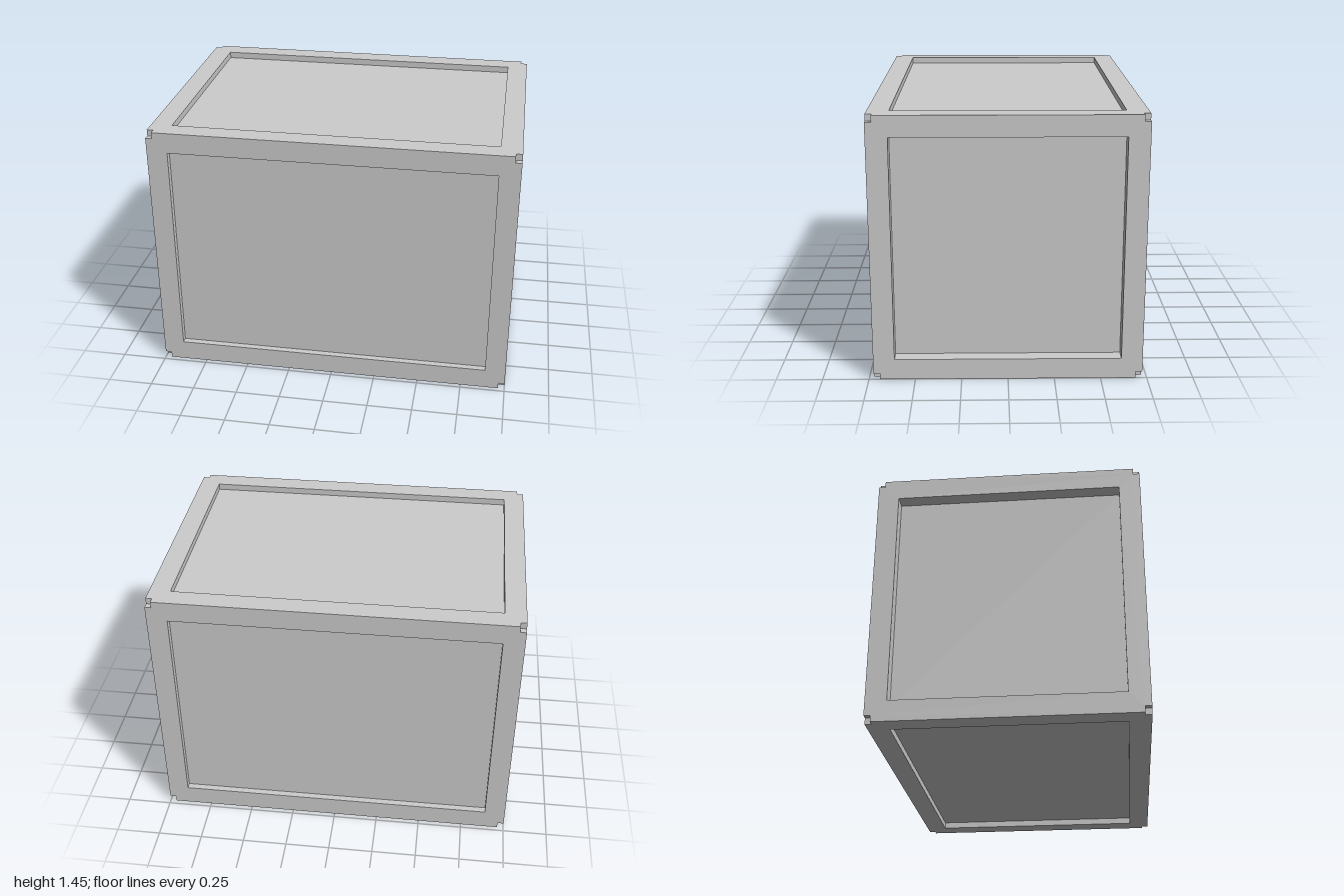
import * as THREE from 'three';

const W = 2, H = 1.45, D = 1.45;   // outer size
const RIM = 0.115;                 // width of the raised border
const NOTCH = 0.035;               // cube cut out of every corner
const DEPTH = 0.036;               // recess of front, back, top and bottom
const SIDE_DEPTH = 0.077;          // deeper recess of the two ends

// Raised border with notched corners; its outer face lies at z = 0
function borderGeometry(w, h, depth) {
  const x = w / 2, y = h / 2, n = NOTCH;
  const shape = new THREE.Shape([
    [-x + n, -y], [x - n, -y], [x - n, -y + n], [x, -y + n],
    [x, y - n], [x - n, y - n], [x - n, y], [-x + n, y],
    [-x + n, y - n], [-x, y - n], [-x, -y + n], [-x + n, -y + n],
  ].map(([a, b]) => new THREE.Vector2(a, b)));
  const ix = x - RIM, iy = y - RIM;
  shape.holes.push(new THREE.Path([
    [-ix, -iy], [-ix, iy], [ix, iy], [ix, -iy],
  ].map(([a, b]) => new THREE.Vector2(a, b))));
  return new THREE.ExtrudeGeometry(shape, { depth, bevelEnabled: false })
    .translate(0, 0, -depth);
}

export function createModel() {
  const model = new THREE.Group();
  model.name = 'framedCrate';
  const grey = new THREE.MeshStandardMaterial({ color: 0xcccccc });
  grey.name = 'lightGrey';

  // Inner block forms the six recessed panels
  const core = new THREE.Mesh(
    new THREE.BoxGeometry(W - 2 * SIDE_DEPTH, H - 2 * DEPTH, D - 2 * DEPTH), grey);
  core.name = 'recessedPanels';
  core.position.y = H / 2;
  model.add(core);

  // One border per face: name, width, height, depth, distance, turn about x and y
  const q = Math.PI / 2;
  const faces = [
    ['frontBorder', W, H, DEPTH, D / 2, 0, 0],
    ['backBorder', W, H, DEPTH, D / 2, 0, 2 * q],
    ['leftBorder', D, H, SIDE_DEPTH, W / 2, 0, q],
    ['rightBorder', D, H, SIDE_DEPTH, W / 2, 0, -q],
    ['topBorder', W, D, DEPTH, H / 2, -q, 0],
    ['bottomBorder', W, D, DEPTH, H / 2, q, 0],
  ];
  for (const [name, w, h, depth, distance, rx, ry] of faces) {
    const border = new THREE.Mesh(borderGeometry(w, h, depth), grey);
    border.name = name;
    border.rotation.set(rx, ry, 0);
    border.position.set(0, 0, distance).applyEuler(border.rotation);
    border.position.y += H / 2;
    model.add(border);
  }
  return model;
}
